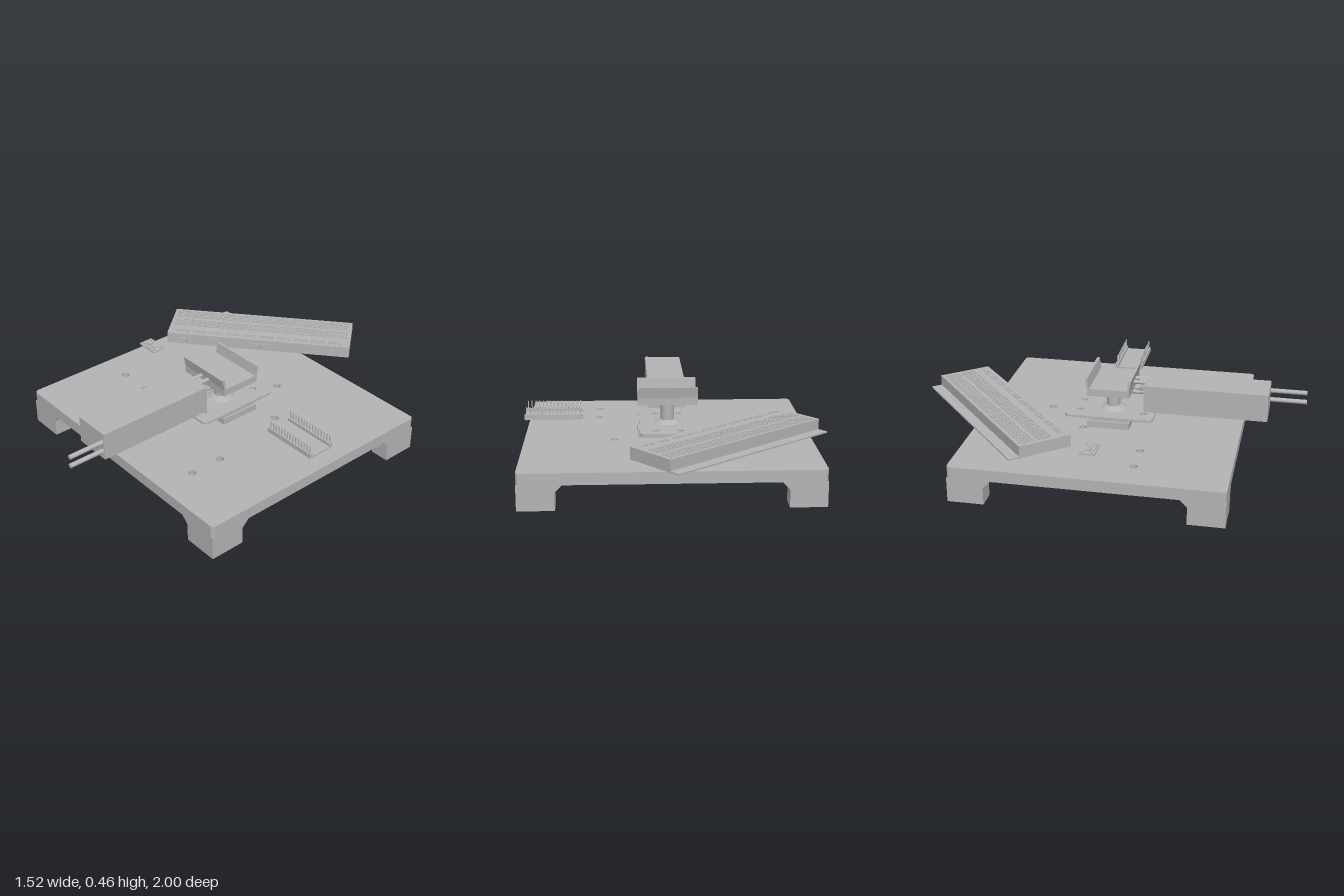
import * as THREE from 'three';
import { mergeGeometries } from 'three/addons/utils/BufferGeometryUtils.js';

const grey = new THREE.MeshStandardMaterial({ color: 0xb4b4b4 });
grey.name = 'plain grey';

// Box from its limits on each axis
function box(x0, x1, y0, y1, z0, z1) {
  return new THREE.BoxGeometry(x1 - x0, y1 - y0, z1 - z0)
    .translate((x0 + x1) / 2, (y0 + y1) / 2, (z0 + z1) / 2);
}
// Cylinder along z
function rod(x, y, r, z0, z1) {
  return new THREE.CylinderGeometry(r, r, z1 - z0, 20).rotateX(Math.PI / 2).translate(x, y, (z0 + z1) / 2);
}
function part(parent, name, ...geos) {
  const flat = geos.map(g => (g.index ? g.toNonIndexed() : g));
  const mesh = new THREE.Mesh(flat.length > 1 ? mergeGeometries(flat) : flat[0], grey);
  mesh.name = name;
  parent.add(mesh);
  return mesh;
}
// Rounded rectangle outline in x and z
function roundRect(x0, x1, z0, z1, r) {
  const s = new THREE.Shape();
  s.absarc(x1 - r, z1 - r, r, 0, Math.PI / 2);
  s.absarc(x0 + r, z1 - r, r, Math.PI / 2, Math.PI);
  s.absarc(x0 + r, z0 + r, r, Math.PI, Math.PI * 1.5);
  s.absarc(x1 - r, z0 + r, r, Math.PI * 1.5, Math.PI * 2);
  s.closePath();
  return s;
}
function roundHole(shape, x, z, r) {
  shape.holes.push(new THREE.Path().absarc(x, z, r, 0, Math.PI * 2, true));
}
function squareHole(shape, x, z, h) {
  shape.holes.push(new THREE.Path([[-h, -h], [-h, h], [h, h], [h, -h]]
    .map(([a, b]) => new THREE.Vector2(x + a, z + b))));
}
// Horizontal slab from an outline in x and z
function slab(shape, y0, y1) {
  return new THREE.ExtrudeGeometry(shape, { depth: y1 - y0, bevelEnabled: false, curveSegments: 10 })
    .rotateX(Math.PI / 2).translate(0, y1, 0);
}
// Upright prism, its outline in x,y (or z,y when turned)
function prism(points, middle, width, turned) {
  const s = new THREE.Shape(points.map(p => new THREE.Vector2(...p)));
  const g = new THREE.ExtrudeGeometry(s, { depth: width, bevelEnabled: false }).translate(0, 0, -width / 2);
  if (turned) return g.rotateY(-Math.PI / 2).translate(middle, 0, 0);
  return g.translate(0, 0, middle);
}

function buildBase(model) {
  const base = new THREE.Group();
  base.name = 'base';
  model.add(base);
  const [X0, X1, Z0, Z1, under] = [-0.718, 0.764, -0.68, 0.68, 0.127];
  const top = roundRect(X0, X1, Z0, Z1, 0.02);
  for (const [x, z] of [[0.085, -0.345], [0.3, -0.13], [-0.14, -0.13], [-0.535, 0.21],
    [-0.36, 0.21], [0.385, 0.315], [0.385, 0.49]]) roundHole(top, x, z, 0.021);
  part(base, 'tableTop', slab(top, under, 0.187));

  // Corner legs: two walls each, with a chamfer where they meet the top
  const t = 0.1, len = 0.183, c = 0.037;
  for (const sx of [-1, 1]) for (const sz of [-1, 1]) {
    const cx = sx < 0 ? X0 : X1, cz = sz < 0 ? Z0 : Z1;
    const ex = cx - sx * len, ez = cz - sz * len;
    const ix = cx - sx * t, iz = cz - sz * t;
    const outline = new THREE.Shape([[cx, cz], [ex, cz], [ex, iz], [ix, iz], [ix, ez], [cx, ez]]
      .map(p => new THREE.Vector2(...p)));
    part(base, 'leg', slab(outline, 0, under),
      prism([[ex, under], [ex - sx * c, under], [ex, under - c]], (cz + iz) / 2, t),
      prism([[ez, under], [ez - sz * c, under], [ez, under - c]], (cx + ix) / 2, t, true));
  }

  // Hollow socket under the top, with two ribs
  const socket = new THREE.Shape([[-0.01, -0.215], [0.176, -0.215], [0.176, -0.03], [-0.01, -0.03]]
    .map(p => new THREE.Vector2(...p)));
  squareHole(socket, 0.083, -0.1225, 0.06);
  part(base, 'socket', slab(socket, 0, under));
  part(base, 'socketRibs',
    prism([[0.176, under], [0.24, under], [0.176, 0.063]], -0.12, 0.04),
    prism([[-0.215, under], [-0.275, under], [-0.215, 0.063]], 0.083, 0.04, true));
}

function buildBallMount(model) {
  const mount = new THREE.Group();
  mount.name = 'ballMount';
  model.add(mount);
  part(mount, 'mountBlock', box(-0.133, 0.178, 0.187, 0.222, -0.11, 0.11));
  part(mount, 'mountNeck', box(-0.12, 0.168, 0.222, 0.232, -0.1, 0.1));
  const flange = roundRect(-0.122, 0.17, -0.235, 0.23, 0.03);
  for (const x of [-0.04, 0.085]) for (const z of [-0.17, 0.17]) roundHole(flange, x, z, 0.018);
  part(mount, 'flange', slab(flange, 0.231, 0.243));
  part(mount, 'ball', new THREE.SphereGeometry(0.109, 40, 24).translate(0.022, 0.158, 0));
  part(mount, 'stem', new THREE.CylinderGeometry(0.035, 0.035, 0.12, 24).translate(0.022, 0.31, 0));
  // Tray with two slightly flared walls
  part(mount, 'tray', box(-0.131, 0.179, 0.362, 0.4, -0.11, 0.11),
    ...[-1, 1].map(s => prism([[s * 0.098, 0.4], [s * 0.108, 0.455], [s * 0.12, 0.455], [s * 0.11, 0.4]],
      0.024, 0.31, true)));
}

function buildActuator(model) {
  const actuator = new THREE.Group();
  actuator.name = 'actuator';
  model.add(actuator);
  part(actuator, 'actuatorBody', box(-0.08, 0.122, 0.272, 0.416, 0.177, 0.812));
  part(actuator, 'rearRods', rod(0.108, 0.368, 0.012, 0.8, 1), rod(0.108, 0.318, 0.012, 0.8, 1));
  for (const x of [0, 0.053]) for (const y of [0.35, 0.404])
    part(actuator, 'frontFinger', rod(x, y, 0.011, 0.085, 0.19));
  part(actuator, 'collar', rod(0.026, 0.377, 0.036, 0.14, 0.18));
}

function buildSocketBoard(model) {
  const board = new THREE.Group();
  board.name = 'socketBoard';
  board.position.set(-0.268, 0, -0.548);
  board.rotation.y = 0.702;
  model.add(board);
  part(board, 'backingSheet', box(-0.506, 0.506, 0.272, 0.28, -0.165, 0.165));
  part(board, 'boardBody', box(-0.506, 0.506, 0.28, 0.32, -0.11, 0.165));
  // Perforated face: two wide fields and one broken rail
  const face = new THREE.Shape([[-0.506, -0.11], [0.506, -0.11], [0.506, 0.165], [-0.506, 0.165]]
    .map(p => new THREE.Vector2(...p)));
  const pitch = 0.0155;
  for (const z of [-0.057, 0.035])
    for (let i = -31; i <= 31; i++)
      for (let j = -2; j <= 2; j++) squareHole(face, i * pitch, z + j * pitch, 0.005);
  for (let k = 0; k < 10; k++)
    for (let i = -2; i <= 2; i++)
      for (const z of [0.119, 0.1345]) squareHole(face, (k - 4.5) * 0.0945 + i * pitch, z, 0.005);
  part(board, 'perforatedFace', slab(face, 0.32, 0.334));
  // Joining tabs along the front edge
  for (const x of [-0.41, 0, 0.41])
    part(board, 'sideTab', box(x - 0.015, x + 0.015, 0.284, 0.312, 0.165, 0.175));
}

function buildSmallBoards(model) {
  const pinBoard = new THREE.Group();
  pinBoard.name = 'pinBoard';
  model.add(pinBoard);
  part(pinBoard, 'circuitSheet', box(0.465, 0.764, 0.284, 0.292, -0.08, 0.073));
  part(pinBoard, 'connector', box(0.462, 0.49, 0.27, 0.284, -0.025, 0.02));
  part(pinBoard, 'chip', box(0.61, 0.722, 0.272, 0.284, -0.045, 0.04));
  for (const z of [-0.07, 0.063]) {
    part(pinBoard, 'pinHeader', box(0.468, 0.762, 0.292, 0.308, z - 0.009, z + 0.009));
    const pins = [];
    for (let i = 0; i < 15; i++) {
      const x = 0.478 + i * 0.0196;
      pins.push(box(x - 0.0025, x + 0.0025, 0.278, 0.348, z - 0.0025, z + 0.0025));
    }
    part(pinBoard, 'pinRow', ...pins);
  }

  const sensor = new THREE.Group();
  sensor.name = 'sensorBoard';
  model.add(sensor);
  const sheet = roundRect(-0.63, -0.502, -0.042, 0.038, 0.004);
  for (const z of [-0.026, 0.022]) for (const x of [-0.612, -0.52]) roundHole(sheet, x, z, 0.008);
  part(sensor, 'sensorSheet', slab(sheet, 0.272, 0.28));
  part(sensor, 'sensorParts', box(-0.6, -0.575, 0.28, 0.289, -0.012, 0.012),
    box(-0.56, -0.535, 0.28, 0.286, -0.015, 0.01), box(-0.59, -0.54, 0.28, 0.285, 0.018, 0.03));
}

export function createModel() {
  const model = new THREE.Group();
  model.name = 'balancingRig';
  buildBase(model);
  buildBallMount(model);
  buildActuator(model);
  buildSocketBoard(model);
  buildSmallBoards(model);
  return model;
}
